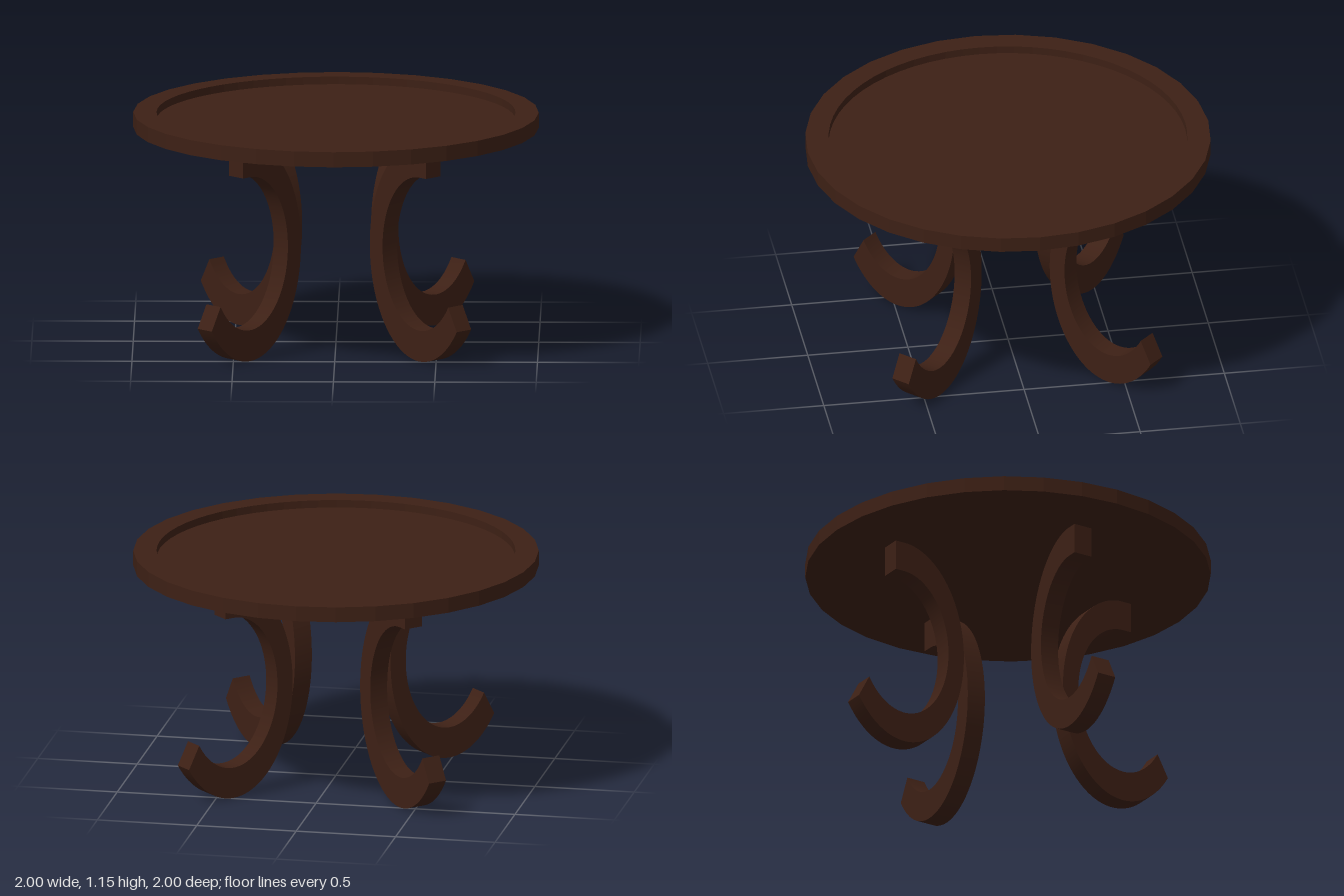
import * as THREE from 'three';
import { toCreasedNormals } from 'three/addons/utils/BufferGeometryUtils.js';

const wood = new THREE.MeshStandardMaterial({ color: 0x3d2015 });

function part(name, geometry) {
  const mesh = new THREE.Mesh(geometry, wood);
  mesh.name = name;
  return mesh;
}

// C-scroll outline between two ellipses: x runs outward, y up
function legGeometry() {
  const cx = 0.64, cy = 0.54, end = 0.688, width = 0.1;
  const top = Math.PI / 2;
  const outerTip = 2 * Math.PI - 0.717, innerTip = 2 * Math.PI - 0.672;
  const shape = new THREE.Shape();
  shape.moveTo(end, 0.925);
  shape.lineTo(end, 1.08);
  shape.absellipse(cx, cy, 0.35, 0.54, top, outerTip, false);
  shape.absellipse(cx, cy, 0.26, 0.385, innerTip, top, true);
  shape.closePath();
  const geometry = new THREE.ExtrudeGeometry(shape, { depth: width, bevelEnabled: false, curveSegments: 32 });
  geometry.translate(0, 0, -width / 2);
  return toCreasedNormals(geometry, 0.5);
}

// 32-sided rim with a round opening
function rimGeometry(bottom, height, innerRadius) {
  const corners = [];
  for (let i = 0; i < 32; i++) {
    const a = (i / 32) * Math.PI * 2;
    corners.push(new THREE.Vector2(Math.cos(a), Math.sin(a)));
  }
  const shape = new THREE.Shape(corners);
  shape.holes.push(new THREE.Path().absarc(0, 0, innerRadius, 0, Math.PI * 2, true));
  const geometry = new THREE.ExtrudeGeometry(shape, { depth: height, bevelEnabled: false, curveSegments: 32 });
  geometry.rotateX(-Math.PI / 2);
  geometry.translate(0, bottom, 0);
  return geometry;
}

export function createModel() {
  const group = new THREE.Group();
  group.name = 'roundTable';

  // Tabletop: raised rim around a sunken panel
  const tabletop = new THREE.Group();
  tabletop.name = 'tabletop';
  const panel = part('panel', new THREE.CylinderGeometry(0.885, 0.885, 0.038, 64));
  panel.position.y = 1.098;
  tabletop.add(part('rim', rimGeometry(1.079, 0.076, 0.885)), panel);
  group.add(tabletop);

  // Four scroll legs on the diagonals
  const leg = legGeometry();
  for (const [i, name] of ['backLeftLeg', 'backRightLeg', 'frontRightLeg', 'frontLeftLeg'].entries()) {
    const mesh = part(name, leg);
    mesh.rotation.y = Math.PI / 4 + (i * Math.PI) / 2;
    group.add(mesh);
  }
  return group;
}
